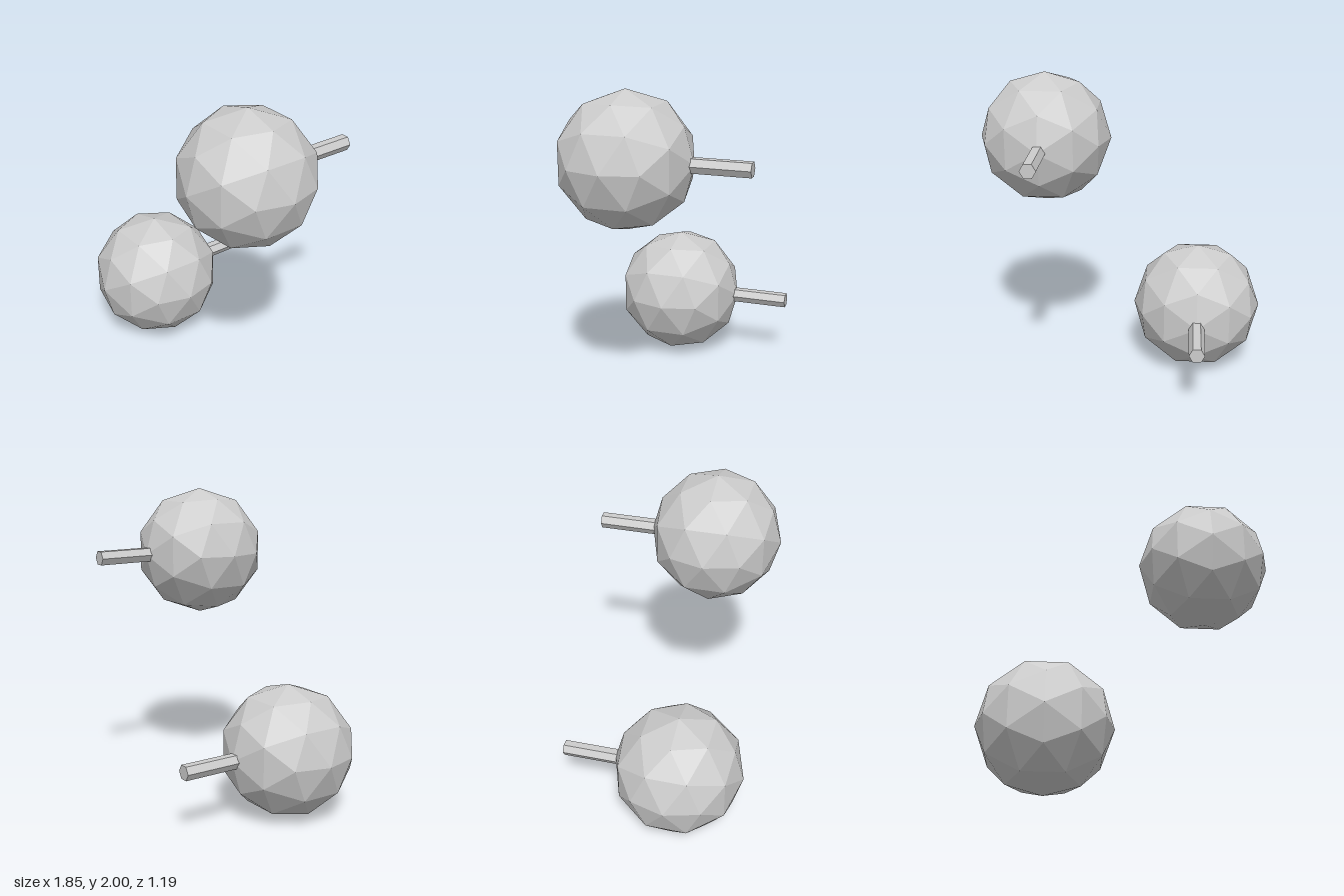
import * as THREE from 'three';

export function createModel() {
  const model = new THREE.Group();
  const grey = new THREE.MeshStandardMaterial({ color: 0xcccccc, flatShading: true });
  grey.name = 'light grey';

  const radius = 0.423;
  const centreZ = 0.173;
  const rodEndZ = -0.596;

  // Faceted ball
  const ballGeometry = new THREE.IcosahedronGeometry(radius, 1);

  // Six-sided rod running from the ball's centre out of its back, flat side up
  const rodLength = centreZ - rodEndZ;
  const rodGeometry = new THREE.CylinderGeometry(0.05, 0.05, rodLength, 6)
    .rotateY(Math.PI / 6)
    .rotateX(Math.PI / 2)
    .translate(0, 0, -rodLength / 2);

  function addKnob(name, x, y) {
    const knob = new THREE.Group();
    knob.name = name;
    const ball = new THREE.Mesh(ballGeometry, grey);
    ball.name = 'ball';
    const rod = new THREE.Mesh(rodGeometry, grey);
    rod.name = 'rod';
    knob.add(ball, rod);
    knob.position.set(x, y, centreZ);
    model.add(knob);
  }

  addKnob('upperLeftKnob', 0.5, 2 - radius);
  addKnob('lowerRightKnob', -0.5, radius);
  return model;
}
